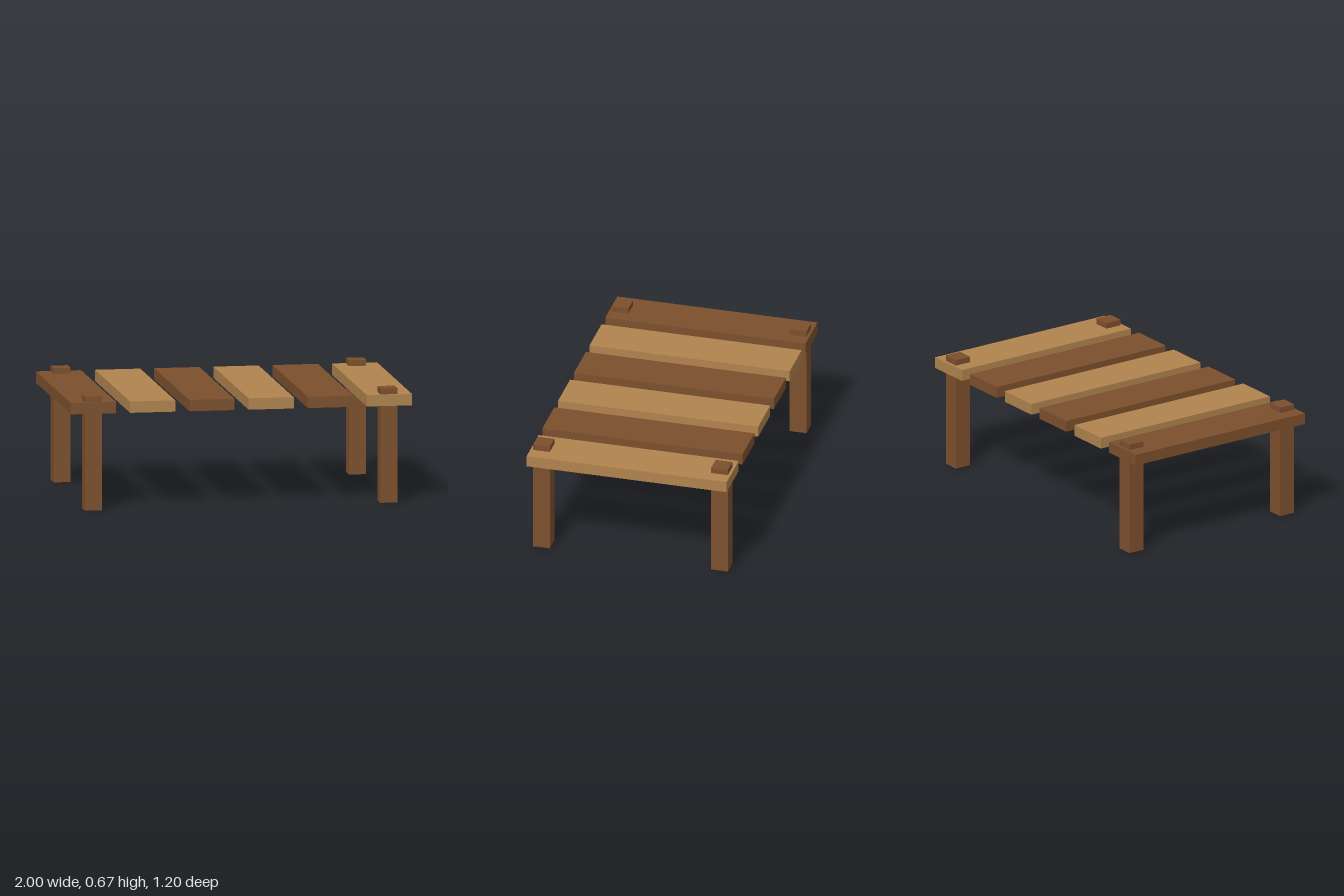
import * as THREE from 'three';

export function createModel() {
  const model = new THREE.Group();
  model.name = 'plankPlatform';

  const darkWood = new THREE.MeshStandardMaterial({ color: 0x7c502d });
  darkWood.name = 'dark wood';
  const lightWood = new THREE.MeshStandardMaterial({ color: 0xb0834e });
  lightWood.name = 'light wood';

  const addBox = (name, geometry, material, x, y, z) => {
    const mesh = new THREE.Mesh(geometry, material);
    mesh.name = name;
    mesh.position.set(x, y, z);
    model.add(mesh);
  };

  // Six deck planks, alternating dark and light from the right side
  const plankCount = 6, plankWidth = 0.265;
  const firstX = -1 + plankWidth / 2;
  const spacing = (-2 * firstX) / (plankCount - 1);
  const plank = new THREE.BoxGeometry(plankWidth, 0.066, 1.198);
  for (let i = 0; i < plankCount; i++) {
    addBox(`plank${i + 1}`, plank, i % 2 ? lightWood : darkWood, firstX + i * spacing, 0.601, 0);
  }

  // Four corner posts whose tops poke through the end planks
  const postHeight = 0.668;
  const post = new THREE.BoxGeometry(0.1, postHeight, 0.1);
  for (const [side, sx] of [['Left', 1], ['Right', -1]]) {
    for (const [end, sz] of [['front', 1], ['back', -1]]) {
      addBox(`${end}${side}Post`, post, darkWood, sx * 0.866, postHeight / 2, sz * 0.533);
    }
  }

  return model;
}
